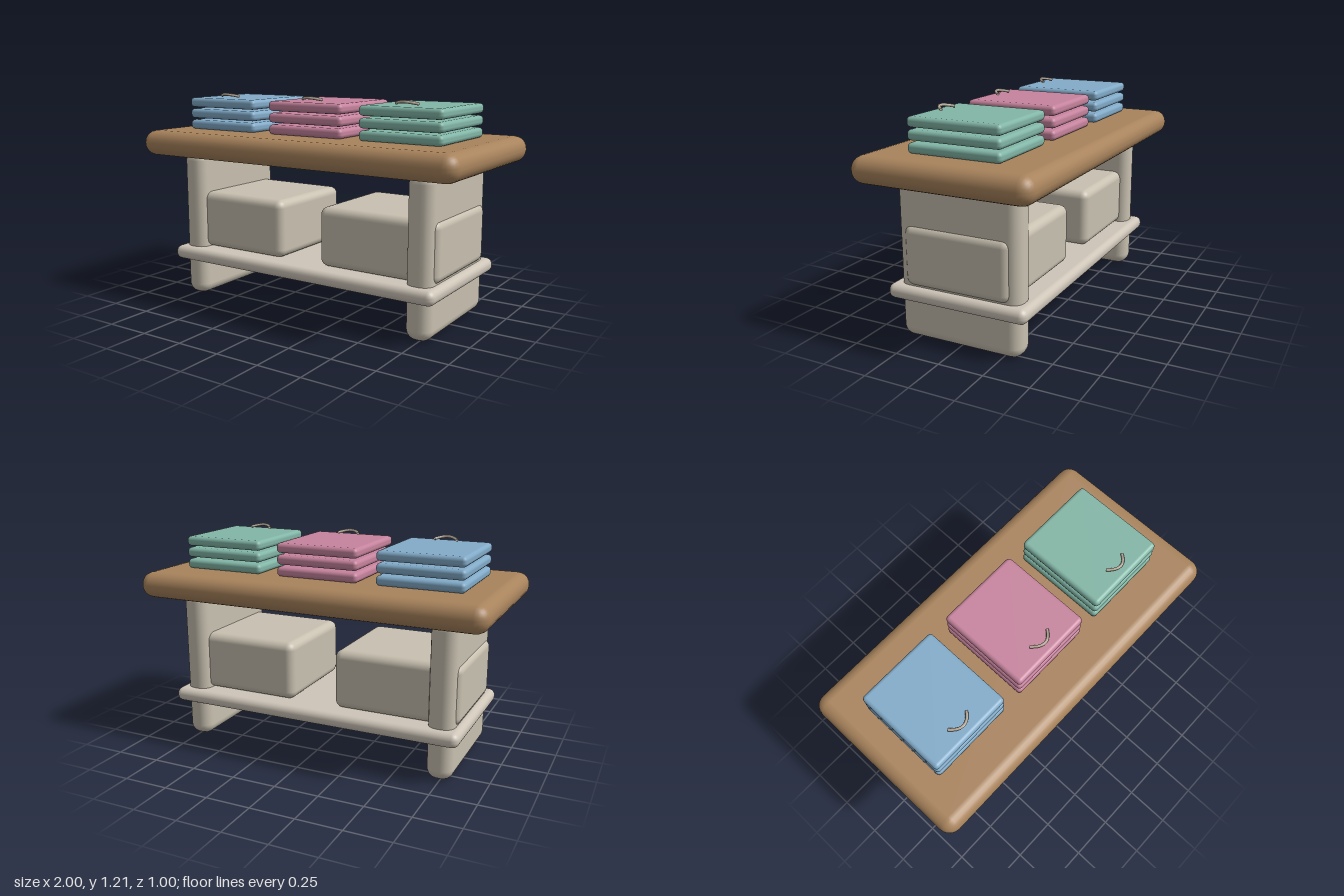
import * as THREE from 'three';
import { RoundedBoxGeometry } from 'three/addons/geometries/RoundedBoxGeometry.js';

const material = (name, color) => {
  const m = new THREE.MeshStandardMaterial({ color });
  m.name = name;
  return m;
};

export function createModel() {
  const model = new THREE.Group();
  model.name = 'displayTable';

  const wood = material('wood', 0xa8835c);
  const stone = material('warmGrey', 0xc8c0b0);
  const shelfPaint = material('paleGrey', 0xcec5b8);
  const blue = material('blueCloth', 0x82abc9);
  const pink = material('pinkCloth', 0xc6839d);
  const green = material('greenCloth', 0x82b6a6);
  const cord = material('cord', 0xb8ab9b);
  cord.side = THREE.DoubleSide;

  // Rounded box given by its extents on each axis
  const block = (parent, name, mat, [x0, x1], [y0, y1], [z0, z1], radius, segments = 3) => {
    const geo = new RoundedBoxGeometry(x1 - x0, y1 - y0, z1 - z0, segments, radius);
    const mesh = new THREE.Mesh(geo, mat);
    mesh.name = name;
    mesh.position.set((x0 + x1) / 2, (y0 + y1) / 2, (z0 + z1) / 2);
    parent.add(mesh);
  };

  // Table top and lower shelf
  block(model, 'tableTop', wood, [-1, 1], [0.845, 0.99], [-0.5, 0.5], 0.07);
  block(model, 'shelf', shelfPaint, [-0.857, 0.857], [0.215, 0.295], [-0.4, 0.4], 0.037);

  // Panel legs and storage bins, mirrored
  for (const [side, s] of [['left', 1], ['right', -1]]) {
    const span = (a, b) => (s > 0 ? [a, b] : [-b, -a]);
    block(model, side + 'Leg', stone, span(0.67, 0.815), [0, 0.87], [-0.35, 0.35], 0.06);
    block(model, side + 'Bin', stone, span(0.125, 0.833), [0.295, 0.625], [-0.303, 0.303], 0.045);
  }

  // Folded cloth stacks, each with a small curved cord tag
  const tagPath = new THREE.QuadraticBezierCurve3(
    new THREE.Vector3(-0.064, 1.187, 0.168),
    new THREE.Vector3(0, 1.21, 0.255),
    new THREE.Vector3(0.064, 1.187, 0.168)
  );
  const tagGeo = new THREE.TubeGeometry(tagPath, 12, 0.008, 8);
  [['blueStack', blue, -0.583], ['pinkStack', pink, 0], ['greenStack', green, 0.583]].forEach(([name, mat, x]) => {
    const stack = new THREE.Group();
    stack.name = name;
    stack.position.x = x;
    for (let i = 0; i < 3; i++) {
      const y = 0.99 + i * 0.065;
      block(stack, 'foldedCloth', mat, [-0.24, 0.24], [y, y + 0.055], [-0.262, 0.262], 0.022, 2);
    }
    const tag = new THREE.Mesh(tagGeo, cord);
    tag.name = 'cordTag';
    stack.add(tag);
    model.add(stack);
  });

  return model;
}
